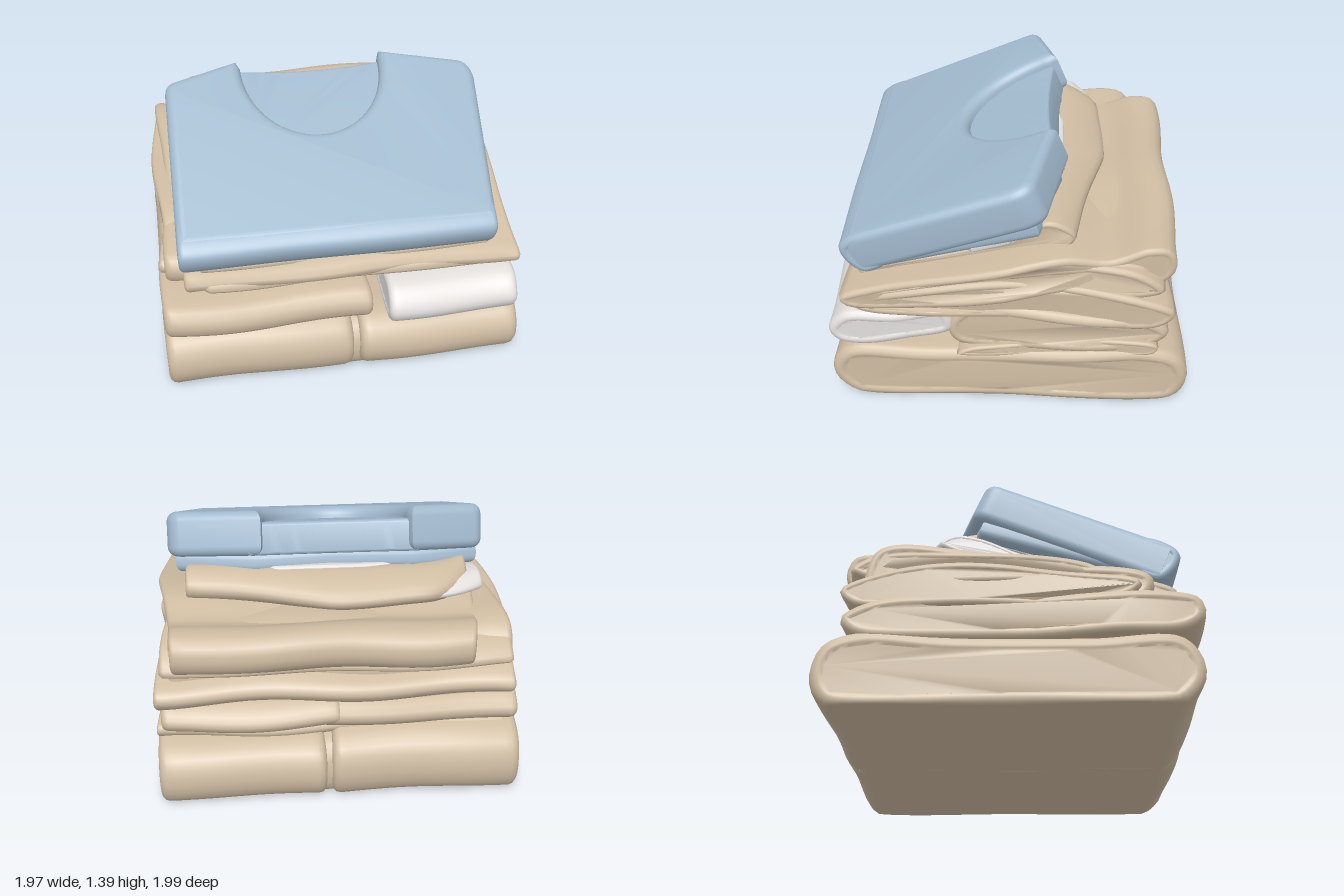
import * as THREE from 'three';
import { toCreasedNormals } from 'three/addons/utils/BufferGeometryUtils.js';

const material = (name, color) => {
  const m = new THREE.MeshStandardMaterial({ color });
  m.name = name;
  return m;
};

// Folded cloth: a closed [z, y] section swept along x, with a rolled rim and sunken ends
function fold(name, mat, section, x0, x1, { seed = 0, wave = 0.012, rim = 0.035, warp } = {}) {
  const curve = new THREE.CatmullRomCurve3(section.map(([z, y]) => new THREE.Vector3(z, y, 0)), true, 'centripetal');
  const N = 90;
  const ring = curve.getSpacedPoints(N).slice(0, N).map((p) => new THREE.Vector2(p.x, p.y));
  if (THREE.ShapeUtils.isClockWise(ring)) ring.reverse();
  const inward = ring.map((p, i) => {
    const t = ring[(i + 1) % N].clone().sub(ring[(i + N - 1) % N]).normalize();
    return new THREE.Vector2(-t.y, t.x);
  });
  // Stations along x as [x, inset]
  const end = [0.7, 0.6, 0.5, 0.35, 0.18, 0].map((f) => {
    const a = f * Math.PI;
    return [rim * (1 - Math.sin(a)), rim * (1 - Math.cos(a))];
  });
  const stations = end.map(([d, o]) => [x0 + d, o]);
  for (let i = 1; i < 24; i++) stations.push([x0 + rim + (x1 - x0 - 2 * rim) * i / 24, 0]);
  stations.push(...[...end].reverse().map(([d, o]) => [x1 - d, o]));

  const pos = [], idx = [];
  for (const [x, inset] of stations) {
    ring.forEach((r, i) => {
      const z = r.x + inward[i].x * inset, y = r.y + inward[i].y * inset;
      const p = new THREE.Vector3(
        x + wave * 1.2 * Math.sin(5 * z + seed * 2),
        y + wave * Math.sin(5 * x + seed) * Math.sin(4 * z + seed * 1.7),
        z + wave * Math.sin(6 * x + seed * 3));
      if (warp) warp(p);
      pos.push(p.x, Math.max(p.y, 0), p.z);
    });
  }
  const last = (stations.length - 1) * N;
  for (let s = 0; s < last; s += N) {
    for (let i = 0; i < N; i++) {
      const a = s + i, b = s + (i + 1) % N;
      idx.push(a, a + N, b, b, a + N, b + N);
    }
  }
  const capRing = ring.map((r, i) => r.clone().addScaledVector(inward[i], stations[0][1]));
  for (const [a, b, c] of THREE.ShapeUtils.triangulateShape(capRing, [])) {
    idx.push(a, b, c, last + a, last + c, last + b);
  }
  const g = new THREE.BufferGeometry();
  g.setAttribute('position', new THREE.Float32BufferAttribute(pos, 3));
  g.setIndex(idx);
  g.computeVertexNormals();
  const mesh = new THREE.Mesh(g, mat);
  mesh.name = name;
  return mesh;
}

// Soft-edged panel lying on a slope that rises towards the back
function panel(name, mat, shape, y, z, degrees, depth, bevel) {
  const g = new THREE.ExtrudeGeometry(shape, {
    depth: depth - 2 * bevel, bevelThickness: bevel, bevelSize: bevel, bevelOffset: -bevel,
    bevelSegments: 6, curveSegments: 24,
  });
  g.translate(0, 0, bevel);
  const mesh = new THREE.Mesh(toCreasedNormals(g, 0.7), mat);
  mesh.name = name;
  mesh.rotation.x = THREE.MathUtils.degToRad(degrees - 90);
  mesh.position.set(0, y, z);
  return mesh;
}

const polygon = (pts) => new THREE.Shape(pts.map(([x, y]) => new THREE.Vector2(x, y)));

export function createModel() {
  const beige = material('beige cloth', 0xd0bda3);
  const blue = material('blue cloth', 0xa2bace);
  const white = material('white cloth', 0xe2dfdd);
  const model = new THREE.Group();
  model.name = 'foldedClothes';

  // Bottom garment: two folded halves joined by a core
  const base = [[-0.9, 0], [-0.8, -0.02], [0, -0.02], [0.75, -0.02], [0.85, 0], [0.95, 0.1], [0.96, 0.21],
    [0.86, 0.33], [0.4, 0.32], [-0.3, 0.33], [-0.75, 0.36], [-0.93, 0.3], [-0.985, 0.17], [-0.96, 0.06]];
  model.add(
    fold('bottomFoldRight', beige, base, -0.97, 0.05, { seed: 1, wave: 0.008, rim: 0.045, warp: (p) => { p.y *= 1.1; } }),
    fold('bottomFoldLeft', beige, base, 0.08, 0.98, { seed: 2, wave: 0.008, rim: 0.045 }),
    fold('bottomCore', beige, [[-0.88, 0.005], [0, 0.005], [0.86, 0.005], [0.9, 0.16], [0.82, 0.28], [0, 0.3],
      [-0.85, 0.3], [-0.92, 0.16]], -0.3, 0.4, { wave: 0 }),
    fold('bottomFlap', beige, [[-0.8, 0.34], [-0.3, 0.32], [0.1, 0.3], [0.26, 0.31], [0.2, 0.35], [0, 0.38],
      [-0.6, 0.42], [-0.82, 0.39]], -0.92, 0.97, { seed: 3, rim: 0.014 }),
  );

  // Inner cloth closing the gaps between the layers
  model.add(fold('stackCore', beige, [[0.28, 0.32], [0.3, 0.55], [0.7, 0.6], [0.72, 0.72], [0.2, 0.82], [-0.3, 0.9],
    [-0.7, 0.88], [-0.77, 0.6], [-0.74, 0.34], [-0.2, 0.3]], -0.92, 0.92, { seed: 4, wave: 0.015 }));

  // Second garment, shorter on the left where the white roll sits
  model.add(
    fold('secondFoldRight', beige, [[0.88, 0.39], [0.98, 0.47], [0.96, 0.57], [0.8, 0.61], [0, 0.6], [-0.7, 0.56],
      [-0.86, 0.47], [-0.78, 0.37], [0, 0.36], [0.5, 0.38]], -0.96, 0.14, { seed: 4 }),
    fold('secondFoldLeft', beige, [[0.26, 0.36], [0.3, 0.48], [0.2, 0.6], [-0.5, 0.58], [-0.8, 0.54], [-0.88, 0.46],
      [-0.78, 0.37], [-0.2, 0.34]], 0, 0.96, { seed: 5, wave: 0.015 }),
    fold('whiteRoll', white, [[0.93, 0.36], [0.97, 0.44], [0.88, 0.55], [0.6, 0.565], [0.34, 0.595], [0.3, 0.45],
      [0.55, 0.38], [0.8, 0.335]], 0.23, 0.95, { seed: 2, wave: 0.01 }),
  );

  // Third and fourth garments, sloping up to the back
  model.add(
    fold('thirdFold', beige, [[0.8, 0.59], [0.86, 0.65], [0.5, 0.74], [-0.2, 0.78], [-0.7, 0.72], [-0.87, 0.64],
      [-0.8, 0.55], [0, 0.54], [0.5, 0.56]], -0.96, 0.96, { seed: 6, wave: 0.016, rim: 0.025, warp: (p) => {
      if (p.z > 0) p.z *= 1 - 0.22 * THREE.MathUtils.smoothstep(-p.x, 0.74, 0.86);
    } }),
    fold('fourthFold', beige, [[0.83, 0.62], [0.87, 0.68], [0.7, 0.75], [0.2, 0.86], [-0.3, 0.94], [-0.55, 0.91],
      [-0.74, 0.98], [-0.86, 0.965], [-0.89, 0.84], [-0.8, 0.75], [-0.3, 0.72], [0.3, 0.64]], -0.83, 0.98,
    { seed: 7, wave: 0.012, rim: 0.025, warp: (p) => { p.x *= 1 - (p.x < 0 ? 0.18 : 0.12) * Math.max(0, -p.z); } }),
    fold('innerTuck', beige, [[-0.3, 0.68], [-0.7, 0.7], [-0.84, 0.76], [-0.7, 0.86], [-0.2, 0.86], [0.4, 0.78],
      [0.5, 0.7]], -0.95, 0.92, { seed: 9, wave: 0.02, rim: 0.025 }),
  );

  // Top beige garment and white cloth showing beneath it, both rounded at the back corners
  const roundBack = (amount) => (p) => {
    if (p.z < 0) p.z *= p.x > 0 ? 1 - 0.4 * p.x : 1 - amount * Math.max(0, -p.x - 0.5) ** 2;
  };
  model.add(
    fold('topBeigeFold', beige, [[0.78, 0.7], [0.3, 0.76], [-0.2, 0.88], [-0.46, 0.92], [-0.52, 0.99], [-0.44, 1.05],
      [-0.28, 1.08], [-0.05, 0.975], [0.3, 0.865], [0.8, 0.74]], -0.77, 0.8,
    { seed: 8, rim: 0.02, warp: roundBack(6) }),
    fold('whiteCorner', white, [[0.3, 0.83], [0.1, 0.9], [-0.2, 1.01], [-0.4, 1.03], [-0.49, 0.98], [-0.35, 0.92],
      [0, 0.83]], -0.83, -0.5, { seed: 1, rim: 0.015, wave: 0.004, warp: roundBack(2.2) }),
    panel('whiteLining', white, polygon([[-0.78, 0.02], [0.72, 0.02], [0.78, 0.55], [0.845, 0.62], [0.845, 0.82],
      [0.76, 0.9], [0.3, 1.12], [-0.2, 1.12], [-0.78, 0.98]]), 0.72, 0.77, 17, 0.05, 0.015),
  );

  // Blue shirt: lower layer, rolled front, inner neck panel, upper layer with neckline
  const upper = new THREE.Shape();
  upper.moveTo(-0.86, -0.02);
  upper.lineTo(0.82, -0.02);
  upper.lineTo(0.915, 0.92);
  upper.quadraticCurveTo(0.91, 1.03, 0.84, 1.05);
  upper.lineTo(0.39, 1.16);
  upper.absellipse(-0.02, 1.11, 0.4, 0.495, 0, Math.PI, true);
  upper.lineTo(-0.44, 1.16);
  upper.lineTo(-0.8, 1.05);
  upper.quadraticCurveTo(-0.86, 1.03, -0.855, 0.95);

  const neck = new THREE.Shape();
  neck.moveTo(-0.5, 0.45);
  neck.lineTo(0.48, 0.45);
  neck.lineTo(0.46, 1.13);
  neck.quadraticCurveTo(0, 1.06, -0.48, 1.13);

  const shirt = new THREE.Group();
  shirt.name = 'foldedShirt';
  shirt.add(
    panel('shirtLowerLayer', blue, polygon([[-0.84, 0], [0.82, 0], [0.87, 1.0], [0.42, 1.12], [0, 1.05],
      [-0.46, 1.12], [-0.83, 1.0]]), 0.73, 0.78, 17, 0.12, 0.045),
    fold('shirtFrontRoll', blue, [[0.77, 0.73], [0.86, 0.8], [0.89, 0.89], [0.84, 0.95], [0.7, 1.0], [0.6, 0.98],
      [0.62, 0.82], [0.68, 0.76]], -0.855, 0.825, { wave: 0.003, rim: 0.03 }),
    panel('shirtNeckPanel', blue, neck, 0.73, 0.742, 23, 0.18, 0.02),
    panel('shirtUpperLayer', blue, upper, 0.73, 0.742, 23, 0.25, 0.055),
  );
  model.add(shirt);
  return model;
}
